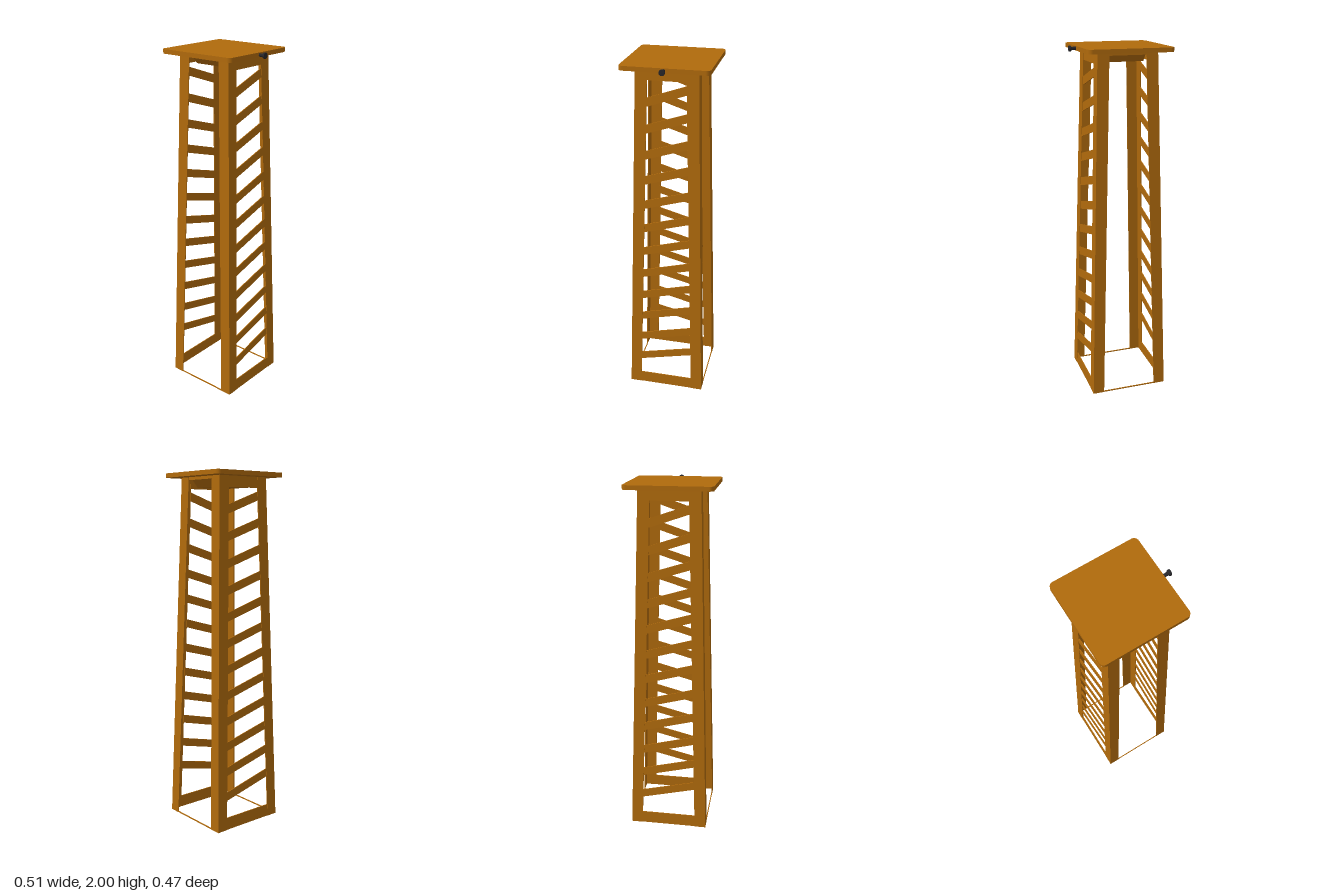
import * as THREE from 'three';

const wood = new THREE.MeshStandardMaterial({ color: 0xb06a0c });
const black = new THREE.MeshStandardMaterial({ color: 0x26262a });

const TOP = 1.976, BASE = 0.2235, LEAN = 0.0285, LEG = 0.065, SHEET = 0.005;
const half = (y) => BASE - LEAN * y; // outer half width of the tower at height y

// Box whose vertices are moved by a rule
function bentBox(name, w, h, d, rule) {
  const geo = new THREE.BoxGeometry(w, h, d);
  const p = geo.attributes.position;
  const v = new THREE.Vector3();
  for (let i = 0; i < p.count; i++) {
    v.fromBufferAttribute(p, i);
    rule(v);
    p.setXYZ(i, v.x, v.y, v.z);
  }
  geo.computeVertexNormals();
  const mesh = new THREE.Mesh(geo, wood);
  mesh.name = name;
  return mesh;
}

// Thin board in the leaning +x face, running between the two legs
function sideBoard(name, y, height, rise = 0) {
  const reach = half(y) - LEG + 0.004;
  return bentBox(name, SHEET, height, 2 * reach, (v) => {
    v.y += y - rise * v.z / (2 * reach);
    v.x += half(v.y) - SHEET / 2 - 0.001;
  });
}

// One side: sloping slats with a rail at the top and the bottom
function sidePanel(name) {
  const g = new THREE.Group();
  g.name = name;
  for (let i = 0; i < 12; i++) g.add(sideBoard('slat', 0.234 + i * 0.1457, 0.048, 0.075));
  g.add(sideBoard('bottomRail', 0.036, 0.07));
  g.add(sideBoard('topRail', 1.946, 0.06));
  return g;
}

// Leaning angle-section leg: two thin boards meeting at the outer corner
function angleLeg(sx, sz) {
  const g = new THREE.Group();
  g.name = 'leg';
  for (const [w, d] of [[LEG, SHEET], [SHEET, LEG]]) {
    g.add(bentBox('legBoard', w, TOP, d, (v) => {
      v.y += TOP / 2;
      v.x += sx * (half(v.y) - w / 2);
      v.z += sz * (half(v.y) - d / 2);
    }));
  }
  return g;
}

export function createModel() {
  const model = new THREE.Group();
  model.name = 'tower';
  const body = new THREE.Group();
  body.name = 'frame';
  body.position.x = -0.019;
  model.add(body);

  for (const sx of [-1, 1]) for (const sz of [-1, 1]) body.add(angleLeg(sx, sz));

  // Slatted sides, the second turned half way round
  const panel = sidePanel('slattedSide');
  const opposite = sidePanel('oppositeSlattedSide');
  opposite.rotation.y = Math.PI;
  body.add(panel, opposite);

  // Thin sills and lintels across the open front and back
  for (const s of [-1, 1]) {
    for (const [name, y, h] of [['sill', 0.003, 0.006], ['lintel', 1.968, 0.016]]) {
      body.add(bentBox(name, 2 * (half(y) - LEG + 0.004), h, SHEET, (v) => {
        v.y += y;
        v.z += s * (half(v.y) - SHEET / 2 - 0.001);
      }));
    }
  }

  // Tapered block under the top
  body.add(bentBox('underBlock', 0.22, 0.05, 0.28, (v) => {
    if (v.y < 0) v.z *= 0.7;
    v.y += 1.945;
  }));

  // Rounded table top
  const a = 0.2375, r = 0.025;
  const shape = new THREE.Shape();
  shape.moveTo(-a + r, -a);
  shape.absarc(a - r, -a + r, r, -Math.PI / 2, 0);
  shape.absarc(a - r, a - r, r, 0, Math.PI / 2);
  shape.absarc(-a + r, a - r, r, Math.PI / 2, Math.PI);
  shape.absarc(-a + r, -a + r, r, Math.PI, Math.PI * 1.5);
  const slabGeo = new THREE.ExtrudeGeometry(shape, { depth: 2 - TOP, bevelEnabled: false, curveSegments: 8 });
  slabGeo.rotateX(-Math.PI / 2);
  const slab = new THREE.Mesh(slabGeo, wood);
  slab.name = 'topBoard';
  slab.position.y = TOP;
  body.add(slab);

  // Knob on the edge of the top board
  const profile = [[0, 0], [0.009, 0], [0.009, 0.033], [0.015, 0.038], [0.016, 0.04], [0.016, 0.048], [0.015, 0.049], [0, 0.049]]
    .map(([x, y]) => new THREE.Vector2(x, y));
  const knobGeo = new THREE.LatheGeometry(profile, 20);
  knobGeo.rotateZ(-Math.PI / 2);
  const knob = new THREE.Mesh(knobGeo, black);
  knob.name = 'knob';
  knob.position.set(0.208, 1.987, 0);
  model.add(knob);

  return model;
}
